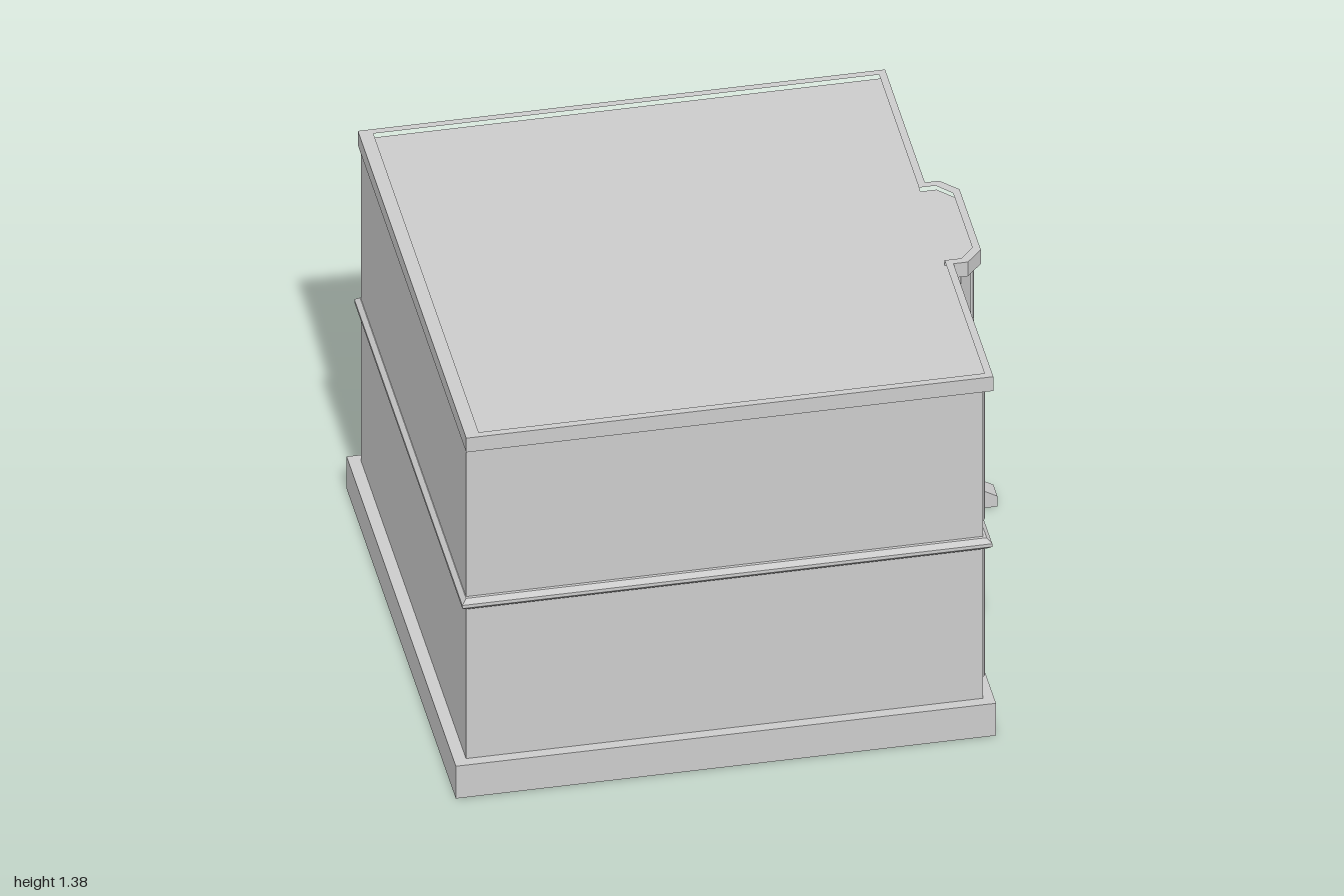
import * as THREE from 'three';

const mat = new THREE.MeshStandardMaterial({ color: 0xcccccc, flatShading: true });
const WALL = 0.71, BAY = 0.81; // outer faces of the street wall and of the bay

export function createModel() {
  const root = new THREE.Group();

  const add = (name, geo, parent = root) => {
    const m = new THREE.Mesh(geo, mat);
    m.name = name;
    parent.add(m);
    return m;
  };
  const group = (name) => {
    const g = new THREE.Group();
    g.name = name;
    root.add(g);
    return g;
  };
  const vecs = (pts) => pts.map(([x, y]) => new THREE.Vector2(x, y));

  // Plan outline of the house with its chamfered bay, grown by o
  const plan = (o, back) => {
    const half = [[back, 0.835 + o], [WALL + o, 0.835 + o], [WALL + o, 0.2 + o],
      [0.765 + o * 0.7, 0.2 + o], [BAY + o, 0.15 + o * 0.7]];
    return vecs([...half, ...half.map(([x, z]) => [x, -z]).reverse()]);
  };
  // Extrude a plan upward from y0 to y1
  const rise = (pts, y0, y1, hole, bevel = 0) => {
    const s = new THREE.Shape(pts);
    if (hole) s.holes.push(new THREE.Path(hole));
    return new THREE.ExtrudeGeometry(s, {
      depth: y1 - y0 - 2 * bevel, bevelEnabled: bevel > 0,
      bevelSize: bevel, bevelThickness: bevel, bevelSegments: 1,
    }).rotateX(-Math.PI / 2).translate(0, y0 + bevel, 0);
  };
  // Rectangles on the street side are [z0, z1, y0, y1]
  const rect = ([z0, z1, y0, y1]) => vecs([[-z1, y0], [-z0, y0], [-z0, y1], [-z1, y1]]);
  const inset = ([z0, z1, y0, y1], d) => [z0 + d, z1 - d, y0 + d, y1 - d];
  // Sheet facing +x from x0 to x1, with rectangular holes
  const sheet = (x0, x1, r, holes = [], bevel = 0) => {
    const s = new THREE.Shape(rect(bevel ? inset(r, bevel) : r));
    holes.forEach((h) => s.holes.push(new THREE.Path(rect(bevel ? inset(h, -bevel) : h))));
    return new THREE.ExtrudeGeometry(s, {
      depth: x1 - x0 - bevel, bevelEnabled: bevel > 0,
      bevelSize: bevel, bevelThickness: bevel, bevelSegments: 1,
    }).rotateY(Math.PI / 2).translate(x0, 0, 0);
  };
  const ring = (x0, x1, r, t, bevel) => sheet(x0, x1, r, [inset(r, t)], bevel);

  // Openings
  const bigWindows = [
    ['groundWindow', [0.33, 0.795, 0.18, 0.685], 0.41],
    ['upperLeftWindow', [0.33, 0.795, 0.785, 1.285], 1.015],
    ['upperRightWindow', [-0.79, -0.33, 0.785, 1.285], 1.015],
  ];
  const bayWindows = [
    ['bayLowerWindow', [-0.132, 0.132, 0.145, 0.51], 0.32],
    ['bayUpperWindow', [-0.132, 0.132, 0.96, 1.305], 1.13],
  ];
  const bayPanels = [[-0.132, 0.132, 0.555, 0.685], [-0.132, 0.132, 0.78, 0.91]];
  const doorHole = [-0.69, -0.42, 0.12, 0.6];

  // Masses
  add('plinth', rise(plan(0.035, -1), 0, 0.125));
  add('wallCore', rise(vecs([[-0.96, 0.835], [0.655, 0.835], [0.655, 0.2], [0.768, 0.2],
    [0.768, -0.2], [0.655, -0.2], [0.655, -0.835], [-0.96, -0.835]]), 0.1, 1.36));
  add('leftStreetWall', sheet(0.655, WALL, [0.2, 0.835, 0.1, 1.36],
    bigWindows.slice(0, 2).map((w) => inset(w[1], 0.045))));
  add('rightStreetWall', sheet(0.655, WALL, [-0.835, -0.2, 0.1, 1.36],
    [inset(bigWindows[2][1], 0.045), doorHole]));
  add('bayWall', sheet(0.768, BAY, [-0.15, 0.15, 0.1, 1.36],
    bayWindows.map((w) => inset(w[1], 0.024)).concat(bayPanels.map((r) => inset(r, 0.03)))));
  for (const s of [-1, 1]) {
    add('bayChamfer', rise(vecs([[0.766, 0.2 * s], [BAY, 0.15 * s], [0.766, 0.15 * s]]), 0.1, 1.36));
  }
  add('stringCourse', rise(plan(0.01, -0.962), 0.71, 0.752, null, 0.015));
  add('roof', rise(plan(0.01, -0.95), 1.335, 1.365));
  add('cornice', rise(plan(0.028, -0.965), 1.33, 1.385, plan(0.004, -0.92)));

  // Sash windows: trim, outer lip, sashes and meeting rail
  const sashWindow = (name, r, railY, face, trim, railH, depth) => {
    const g = group(name);
    const open = inset(r, trim);
    add('trim', ring(face - 0.01, face + 0.009, r, trim, 0.003), g);
    add('trimLip', ring(face, face + 0.015, r, 0.009, 0.004), g);
    add('innerStop', ring(face - depth, face - 0.008, open, 0.009), g);
    const [z0, z1, y0, y1] = inset(open, 0.008);
    add('lowerSash', ring(face - depth, face - depth + 0.012, [z0, z1, y0, railY + 0.01], 0.012), g);
    add('upperSash', ring(face - depth, face - depth + 0.02, [z0, z1, railY, y1], 0.012), g);
    add('meetingRail', sheet(face - depth, face - depth + 0.026, [z0, z1, railY, railY + railH]), g);
  };
  bigWindows.forEach(([n, r, y]) => sashWindow(n, r, y, WALL, 0.045, 0.042, 0.055));
  bayWindows.forEach(([n, r, y]) => sashWindow(n, r, y, BAY, 0.024, 0.025, 0.042));

  // Decorative bay panels
  bayPanels.forEach((r) => {
    const g = group('bayPanel');
    add('panelFrame', ring(BAY - 0.01, BAY + 0.009, r, 0.03, 0.003), g);
    add('panelLip', ring(BAY, BAY + 0.014, r, 0.008, 0.004), g);
    add('panelField', sheet(0.766, BAY - 0.012, inset(r, 0.029)), g);
    add('panelBead', ring(BAY - 0.015, BAY - 0.004, inset(r, 0.03), 0.006), g);
  });

  // Front door with stepped frame
  const door = group('frontDoor');
  const arch = (x0, x1, [z0, z1, y0, y1], t) => {
    const s = new THREE.Shape(vecs([[-z1, y0], [-z1 + t, y0], [-z1 + t, y1 - t], [-z0 - t, y1 - t],
      [-z0 - t, y0], [-z0, y0], [-z0, y1], [-z1, y1]]));
    return new THREE.ExtrudeGeometry(s, { depth: x1 - x0, bevelEnabled: false })
      .rotateY(Math.PI / 2).translate(x0, 0, 0);
  };
  add('doorArchitrave', arch(WALL - 0.01, WALL + 0.012, [-0.733, -0.38, 0.12, 0.63], 0.016), door);
  add('doorCasing', arch(WALL - 0.01, WALL + 0.005, [-0.72, -0.393, 0.12, 0.617], 0.03), door);
  add('doorStop', arch(0.65, 0.69, [-0.692, -0.418, 0.12, 0.602], 0.009), door);
  add('doorLeaf', sheet(0.65, 0.668, [-0.685, -0.425, 0.125, 0.597]), door);
  const round = add('doorRoundFrame', new THREE.TorusGeometry(0.05, 0.007, 6, 32), door);
  round.rotation.y = Math.PI / 2;
  round.position.set(0.669, 0.475, -0.562);
  const pane = add('doorRoundPane', new THREE.CylinderGeometry(0.046, 0.046, 0.006, 32), door);
  pane.rotation.z = Math.PI / 2;
  pane.position.set(0.668, 0.475, -0.562);
  add('letterSlot', sheet(0.66, 0.675, [-0.622, -0.49, 0.25, 0.272], [], 0.003), door);
  add('doorHandle', sheet(0.66, 0.69, [-0.665, -0.617, 0.35, 0.368], [], 0.003), door);

  // Stoop: sloping cheek walls and three steps
  const stoop = group('stoop');
  const cheek = new THREE.Shape(vecs([[0.7, 0], [1, 0], [1, 0.04], [0.77, 0.175], [0.7, 0.175]]));
  for (const z of [-0.755, -0.43]) {
    add('cheekWall', new THREE.ExtrudeGeometry(cheek, { depth: 0.065, bevelEnabled: false })
      .translate(0, 0, z), stoop);
  }
  [[0.955, 0.042], [0.848, 0.085], [0.745, 0.127]].forEach(([x1, h]) => {
    add('step', new THREE.BoxGeometry(x1 - 0.66, h, 0.264)
      .translate((x1 + 0.66) / 2, h / 2, -0.56), stoop);
  });

  return root;
}
